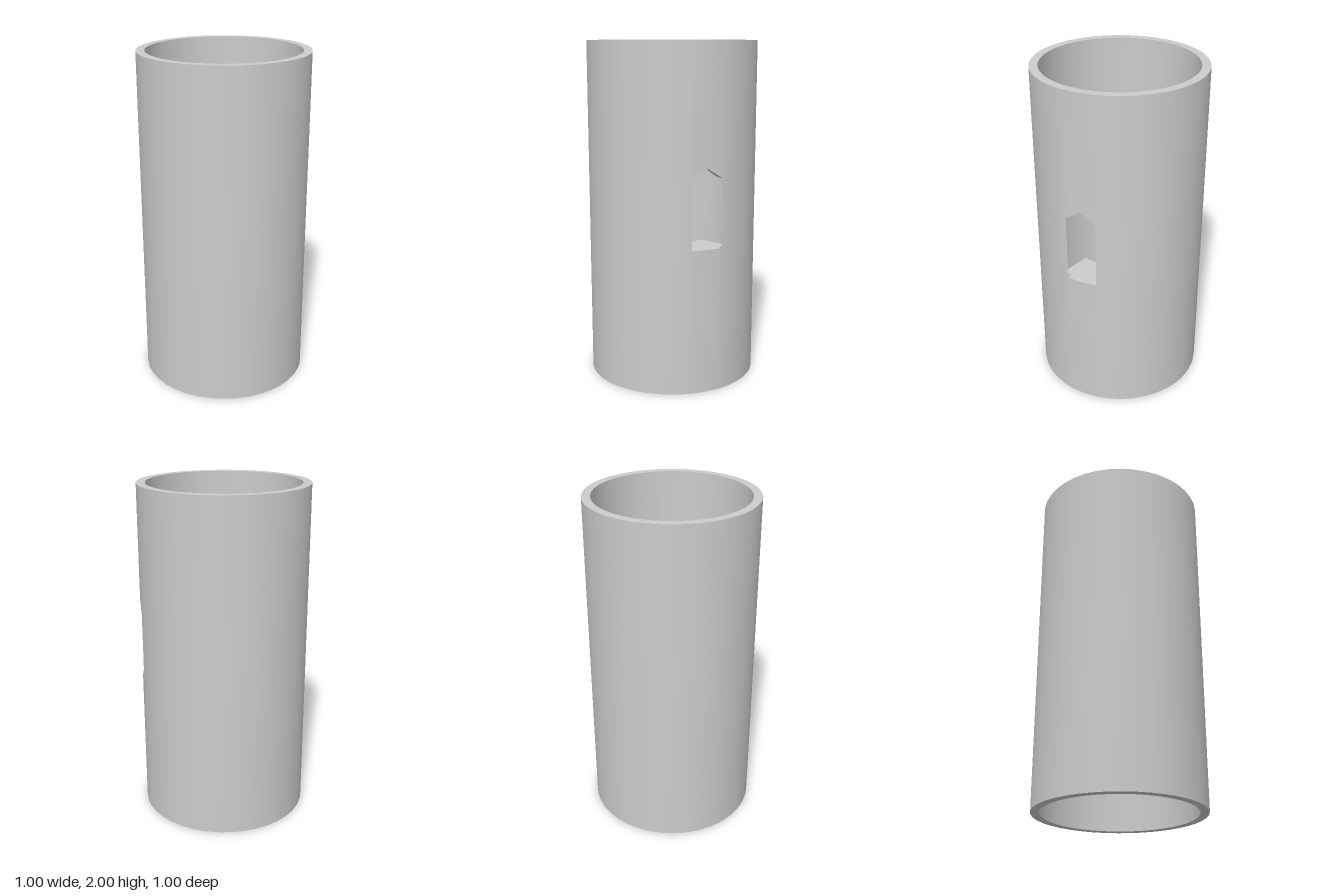
import * as THREE from 'three';
import { toCreasedNormals } from 'three/addons/utils/BufferGeometryUtils.js';

const OUTER = 0.5, INNER = 0.45, HEIGHT = 2;
const SILL = 0.85, EAVE = 1.25, APEX = 1.31;
const SIDE_A = 34.5, MID = 45, SIDE_B = 55.5; // window angles, degrees from +x towards +z

const at = (r, deg, y) => {
  const a = THREE.MathUtils.degToRad(deg);
  return [r * Math.cos(a), y, r * Math.sin(a)];
};

function buildWall() {
  const pos = [];
  const quad = (a, b, c, d) => pos.push(...a, ...b, ...c, ...a, ...c, ...d);

  // Solid curved block between angles a and b; bottom and top heights per side
  const column = (a, b, lowA, lowB, highA, highB) => {
    const corner = (r, deg, y) => at(r, deg, y);
    quad(corner(OUTER, b, lowB), corner(OUTER, a, lowA), corner(OUTER, a, highA), corner(OUTER, b, highB));
    quad(corner(INNER, a, lowA), corner(INNER, b, lowB), corner(INNER, b, highB), corner(INNER, a, highA));
    quad(corner(OUTER, b, highB), corner(OUTER, a, highA), corner(INNER, a, highA), corner(INNER, b, highB));
    quad(corner(OUTER, a, lowA), corner(OUTER, b, lowB), corner(INNER, b, lowB), corner(INNER, a, lowA));
  };

  // Ring of columns, leaving the pointed window open
  const angles = Array.from({ length: 41 }, (_, i) => i * 9);
  angles[4] = SIDE_A;
  angles[6] = SIDE_B;
  for (let i = 0; i < 40; i++) {
    const a = angles[i], b = angles[i + 1];
    if (a >= SIDE_A && b <= SIDE_B) {
      const headA = a === MID ? APEX : EAVE, headB = b === MID ? APEX : EAVE;
      column(a, b, 0, 0, SILL, SILL);
      column(a, b, headA, headB, HEIGHT, HEIGHT);
    } else {
      column(a, b, 0, 0, HEIGHT, HEIGHT);
    }
  }

  // Window jambs
  quad(at(OUTER, SIDE_A, SILL), at(INNER, SIDE_A, SILL), at(INNER, SIDE_A, EAVE), at(OUTER, SIDE_A, EAVE));
  quad(at(INNER, SIDE_B, SILL), at(OUTER, SIDE_B, SILL), at(OUTER, SIDE_B, EAVE), at(INNER, SIDE_B, EAVE));

  const geometry = new THREE.BufferGeometry();
  geometry.setAttribute('position', new THREE.Float32BufferAttribute(pos, 3));
  return toCreasedNormals(geometry, 0.5);
}

// Ledge behind the window, flush with the sill, its outer edge buried in the wall
function buildLedge() {
  const thickness = 0.1;
  const shape = new THREE.Shape();
  const rad = THREE.MathUtils.degToRad;
  shape.moveTo(0.245, 0.136);
  shape.lineTo(0.42, 0.211);
  shape.absarc(0, 0, 0.47, rad(26.7), rad(62.8), false);
  shape.lineTo(0.117, 0.256);
  shape.absarc(0, 0, 0.281, rad(65.4), rad(29), true);
  const geometry = new THREE.ExtrudeGeometry(shape, { depth: thickness, bevelEnabled: false, curveSegments: 6 });
  geometry.rotateX(Math.PI / 2); // shape y becomes z, depth runs downwards
  geometry.translate(0, SILL, 0);
  return toCreasedNormals(geometry, 0.5);
}

export function createModel() {
  const group = new THREE.Group();
  group.name = 'tower';
  const material = new THREE.MeshStandardMaterial({ color: 0xcccccc });

  const wall = new THREE.Mesh(buildWall(), material);
  wall.name = 'towerWall';
  const ledge = new THREE.Mesh(buildLedge(), material);
  ledge.name = 'windowLedge';

  group.add(wall, ledge);
  return group;
}
